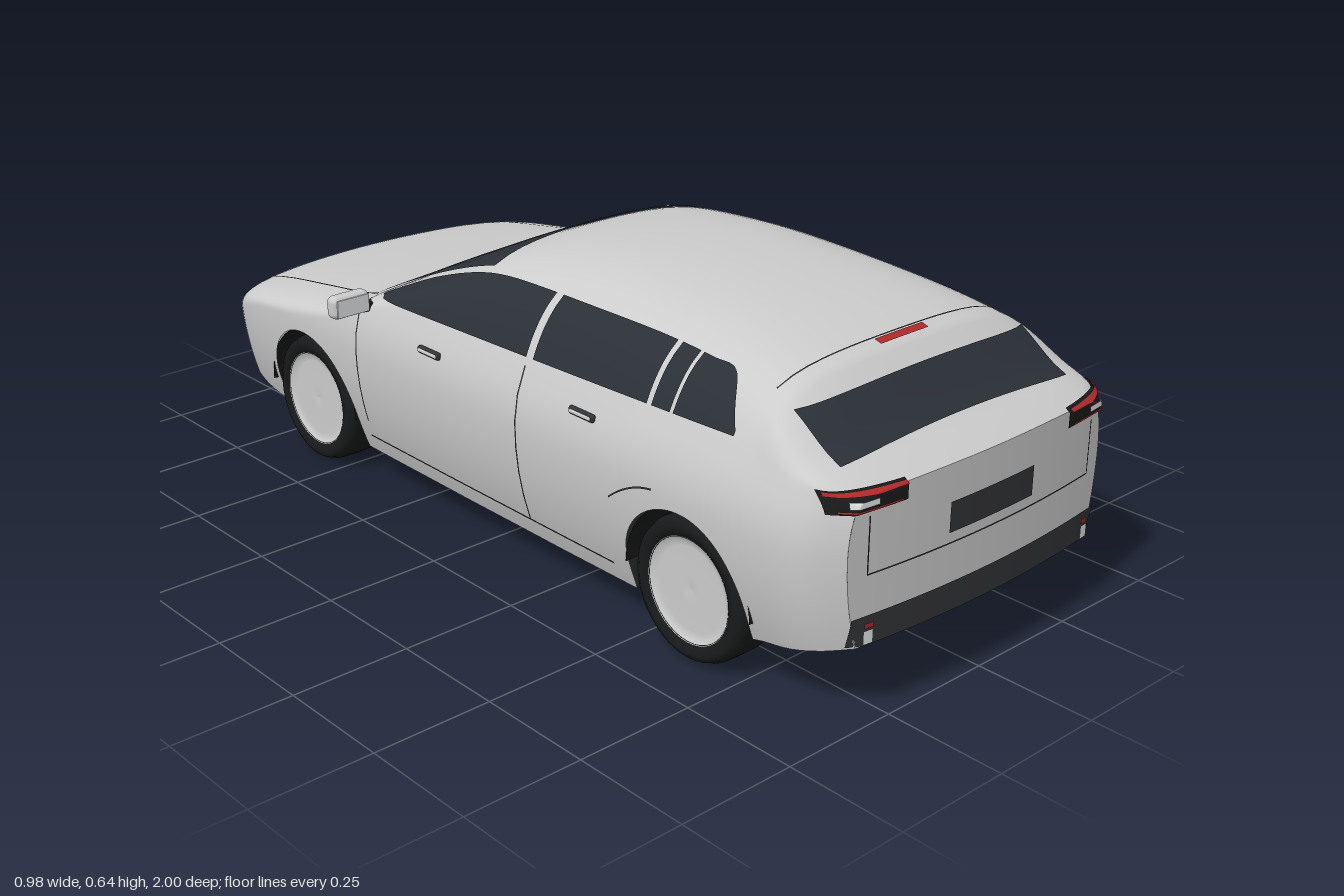
import * as THREE from 'three';
import { RoundedBoxGeometry } from 'three/addons/geometries/RoundedBoxGeometry.js';

const mat = (color) => new THREE.MeshStandardMaterial({ color, side: THREE.DoubleSide });
const PAINT = mat(0xcccccc), GLASS = mat(0x2b3037), BLACK = mat(0x191a1b), TRIM = mat(0x333436);
const RED = mat(0xb02a2a), LAMP = mat(0xe4e6e8);
const lerp = THREE.MathUtils.lerp;

// Body sections: z, roof height, floor height, half width, belt height, two shoulder fullness factors
const KEYS = [
  [-0.985, .272, .13, .33, .235, 1, .88], [-0.96, .305, .12, .362, .26, 1, .85],
  [-0.9, .343, .11, .395, .295, 1, .8], [-0.8, .367, .09, .408, .32, 1, .75],
  [-0.6, .4, .075, .412, .345, 1, .72], [-0.42, .43, .075, .413, .385, 1, .75],
  [-0.36, .457, .075, .414, .42, .97, .82], [-0.2, .54, .075, .415, .445, .93, .8],
  [-0.05, .606, .075, .416, .45, .87, .7], [.1, .632, .075, .416, .45, .857, .65],
  [.3, .64, .075, .416, .452, .857, .65], [.6, .622, .08, .415, .455, .86, .68],
  [.78, .585, .1, .413, .45, .88, .8], [.82, .555, .11, .412, .45, .93, .88],
  [.9, .49, .125, .408, .445, .96, .9], [.96, .462, .14, .388, .435, 1, .9], [1, .443, .15, .35, .42, 1, .9],
];
const Z0 = KEYS[0][0], Z1 = 1;
const WHEELS = [-0.58, .63], ARCH = .163, AXLE = .145;

// Smooth interpolation of column c of a key table at z
function curve(keys, z, c) {
  let i = 0;
  while (i < keys.length - 2 && z > keys[i + 1][0]) i++;
  const slope = (j) => {
    const a = keys[Math.max(j - 1, 0)], b = keys[Math.min(j + 1, keys.length - 1)];
    return (b[c] - a[c]) / (b[0] - a[0]);
  };
  const a = keys[i], b = keys[i + 1], h = b[0] - a[0], t = THREE.MathUtils.clamp((z - a[0]) / h, 0, 1);
  const t2 = t * t, t3 = t2 * t;
  return (2 * t3 - 3 * t2 + 1) * a[c] + (t3 - 2 * t2 + t) * h * slope(i)
    + (3 * t2 - 2 * t3) * b[c] + (t3 - t2) * h * slope(i + 1);
}
const sect = (z) => [1, 2, 3, 4, 5, 6].map((c) => curve(KEYS, z, c));
const sideX = (y, w) => w - (y < .33 ? .8 : 2) * (y - .33) ** 2;

// Point on the shoulder-to-roof curve of a section
function shoulder([top, , w, belt, c, d], t) {
  const bx = sideX(belt, w), s = 1 - t;
  return [
    s ** 3 * bx + 3 * s * s * t * bx * c + 3 * s * t * t * bx * d,
    s ** 3 * belt + 3 * s * s * t * lerp(belt, top, .79) + (3 * s * t * t + t ** 3) * top,
  ];
}
function bisect(lo, hi, ok) {
  for (let i = 0; i < 30; i++) { const m = (lo + hi) / 2; if (ok(m)) lo = m; else hi = m; }
  return lo;
}
// Projections onto the body from the side, from above and from either end
function halfW(y, z) {
  const k = sect(z);
  if (y <= k[3]) return sideX(y, k[2]);
  if (y > k[0]) return -1;
  return shoulder(k, bisect(0, 1, (t) => shoulder(k, t)[1] < y))[0];
}
function topY(x, z) {
  const k = sect(z);
  return shoulder(k, bisect(0, 1, (t) => shoulder(k, t)[0] > Math.abs(x)))[1];
}
const endZ = (x, y, s) => bisect(s * .55, s > 0 ? Z1 : Z0, (z) => halfW(y, z) >= Math.abs(x));

// Plan curvature of nose and tail
function bow([x, y, z]) {
  const f = THREE.MathUtils.smoothstep(Math.abs(z), .6, 1);
  return [x, y, z - Math.sign(z) * f * (z > 0 ? .2 : .32) * x * x];
}
function archY(z, floor) {
  for (const c of WHEELS) if (Math.abs(z - c) < ARCH) return AXLE + Math.sqrt(ARCH ** 2 - (z - c) ** 2);
  return floor;
}
// Half profile from the sill (s = 0) to the roof centre (s = 1)
function profile(z, s) {
  const k = sect(z);
  if (s >= .45) return shoulder(k, (s - .45) / .55);
  const y = lerp(archY(z, k[1]), k[3], s / .45);
  return [sideX(y, k[2]), y];
}

export function createModel() {
  const car = new THREE.Group();
  const add = (name, geo, material, p = [0, 0, 0]) => {
    const m = new THREE.Mesh(geo, material);
    m.name = name; m.position.set(...p); car.add(m);
    return m;
  };
  // Surface grid from a rule f(u, v)
  function sheet(name, material, nu, nv, f) {
    const pos = [], idx = [];
    for (let i = 0; i <= nu; i++) for (let j = 0; j <= nv; j++) {
      pos.push(...bow(f(i / nu, j / nv)));
      if (i < nu && j < nv) {
        const a = i * (nv + 1) + j, b = a + nv + 1;
        idx.push(a, a + 1, b, b, a + 1, b + 1);
      }
    }
    const g = new THREE.BufferGeometry();
    g.setAttribute('position', new THREE.Float32BufferAttribute(pos, 3));
    g.setIndex(idx); g.computeVertexNormals();
    return add(name, g, material);
  }
  const sidePatch = (name, m, s, z0, z1, lo, hi, off = .003) => sheet(name, m, 20, 6, (u, v) => {
    const z = lerp(z0, z1, u), y = lerp(lo(z), Math.max(hi(z), lo(z)), v);
    return [s * (halfW(y, z) + off), y, z];
  });
  const endPatch = (name, m, s, x0, x1, y0, y1, off = .004, arc = 0) => sheet(name, m, 24, 5, (u, v) => {
    const x = lerp(x0, x1, u), y = lerp(y0, y1, v) - arc * x * x;
    const z = endZ(x, y, s);
    return [x * 1.006, y + off * .3, z + s * off];
  });
  const topPatch = (name, m, x0, x1, z0, z1, off = .004) => sheet(name, m, 16, 24, (u, v) => {
    const z = lerp(z0, z1, v), x = lerp(x0(z), x1(z), u);
    return [x, topY(x, z) + off, z];
  });
  const is = (v) => () => v;

  // Stations along the body, denser at the arches and ends
  const zs = [];
  for (let i = 0; i <= 100; i++) zs.push(lerp(Z0, Z1, i / 100));
  for (const c of WHEELS) {
    for (let i = 0; i <= 28; i++) zs.push(c - Math.cos(i / 28 * Math.PI) * ARCH * .9999);
    zs.push(c - ARCH - .0005, c + ARCH + .0005);
  }
  zs.sort((a, b) => a - b);
  const n = zs.length - 1;

  // Shell, nose, tail and underside
  sheet('bodyShell', PAINT, n, 72, (u, v) => {
    const z = zs[Math.round(u * n)], w = v * 2 - 1, [x, y] = profile(z, 1 - Math.abs(w));
    return [Math.sign(w) * x, y, z];
  });
  for (const [name, z] of [['nosePanel', Z0], ['tailPanel', Z1]]) {
    sheet(name, PAINT, 20, 30, (u, v) => {
      const [x, y] = profile(z, v);
      return [(u * 2 - 1) * x, y, z];
    });
  }
  sheet('underside', BLACK, n, 2, (u, v) => {
    const z = zs[Math.round(u * n)], k = sect(z);
    const x = archY(z, 0) > 0 ? .26 : sideX(k[1], k[2]);
    return [(v * 2 - 1) * x, k[1], z];
  });

  // Windscreen, cowl and rear window
  const screenX = (z) => lerp(.325, .288, (z + .39) / .34);
  topPatch('windscreen', GLASS, (z) => -screenX(z), screenX, -.385, -.048);
  topPatch('cowl', BLACK, is(-.335), is(.335), -.41, -.385);
  endPatch('rearWindow', GLASS, 1, -.31, .31, .482, .552, .004, .15);

  // Side glazing, seams, handles, mirrors
  const TOP = [[-.345, .452], [-.2, .517], [-.05, .562], [.1, .576], [.4, .58], [.6, .572], [.67, .56], [.735, .482]];
  const winTop = (z) => curve(TOP, z, 1), winLow = (z) => .452 + .026 * (z + .34);
  for (const s of [1, -1]) {
    for (const [a, b] of [[-.34, .167], [.187, .505], [.517, .565], [.573, .73]])
      sidePatch('sideWindow', GLASS, s, a, b, winLow, winTop);
    for (const [z, lo, hi] of [[.17, .12, .45], [-.37, .16, .41]])
      sidePatch('doorSeam', TRIM, s, z - .002, z + .002, is(lo), is(hi), .002);
    sidePatch('sillSeam', TRIM, s, -.38, .42, is(.117), is(.121), .002);
    sidePatch('rearDoorSeam', TRIM, s, .44, .56, (z) => .335 - 3 * (z - .56) ** 2 - .12 * (.56 - z) - .004,
      (z) => .335 - 3 * (z - .56) ** 2 - .12 * (.56 - z), .002);
    for (const [z, y] of [[.355, .412], [-.115, .397]]) {
      add('doorHandle', new RoundedBoxGeometry(.012, .016, .07, 2, .005), TRIM, [s * (halfW(y, z) + .002), y, z]);
      add('handleGrip', new RoundedBoxGeometry(.012, .008, .06, 2, .003), PAINT, [s * (halfW(y, z) + .005), y, z]);
    }
    add('mirror', new RoundedBoxGeometry(.092, .05, .036, 4, .014), PAINT, [s * .442, .446, -.35]);
    add('mirrorGlass', new THREE.BoxGeometry(.078, .038, .003), LAMP, [s * .442, .446, -.3315]);
    add('mirrorArm', new THREE.BoxGeometry(.05, .016, .022), BLACK, [s * .385, .43, -.35]);
    topPatch('bonnetSeam', TRIM, (z) => s * (.322 + .03 * (z + .4)), (z) => s * (.326 + .03 * (z + .4)), -.93, -.41, .002);

    // Tail lamps and reflectors
    endPatch('tailLampHousing', BLACK, 1, s * .222, s * .372, .408, .446, .004);
    endPatch('tailLampUpper', RED, 1, s * .226, s * .37, .437, .444, .008);
    endPatch('tailLampLower', RED, 1, s * .235, s * .36, .41, .414, .008);
    endPatch('reverseLamp', LAMP, 1, s * .29, s * .345, .418, .43, .008);
    endPatch('tailgateSeam', TRIM, 1, s * .304, s * .307, .29, .4, .003);
    endPatch('bumperReflector', RED, 1, s * .292, s * .312, .186, .196, .009);
    endPatch('bumperLamp', LAMP, 1, s * .292, s * .314, .155, .182, .009);

    // Headlamps
    endPatch('headlampHousing', BLACK, -1, s * .19, s * .355, .276, .303, .004);
    for (let i = 0; i < 3; i++)
      endPatch('headlampLens', LAMP, -1, s * (.215 + i * .045), s * (.247 + i * .045), .281, .297, .008);
    endPatch('frontVent', BLACK, -1, s * .29, s * .318, .15, .225, .004);
  }
  const flap = add('fuelFlap', new THREE.TorusGeometry(.031, .0018, 6, 32), TRIM, [halfW(.395, .72) + .001, .395, .72]);
  flap.rotation.set(0, Math.PI / 2, 0);

  // Tail trim
  endPatch('rearBumperTrim', TRIM, 1, -.338, .338, .152, .21, .005);
  endPatch('platePanel', TRIM, 1, -.115, .115, .31, .37, .005);
  endPatch('tailgateLowerSeam', TRIM, 1, -.306, .306, .287, .29, .003);
  topPatch('highBrakeLamp', RED, is(-.065), is(.065), .766, .782, .005);
  topPatch('spoilerSeam', TRIM, is(-.3), is(.3), .757, .76, .002);

  // Nose trim
  endPatch('lowerGrille', BLACK, -1, -.27, .27, .138, .188, .005);
  for (let i = 0; i < 3; i++) endPatch('grilleBar', TRIM, -1, -.255, .255, .148 + i * .013, .152 + i * .013, .009);
  endPatch('noseSlot', BLACK, -1, -.2, .2, .222, .25, .005);
  const lip = new RoundedBoxGeometry(.36, .016, .03, 3, .006, 1);
  add('noseLip', lip, TRIM, [0, .222, -.984]);
  endPatch('bonnetFrontSeam', TRIM, -1, -.29, .29, .318, .321, .003);

  // Wheels and wells
  const tyre = [[.1, -.05], [.125, -.057], [.138, -.05], [.144, -.035], [.145, 0], [.144, .035], [.138, .05], [.125, .057], [.104, .05], [.1, .03]];
  const rim = [[0, .042], [.03, .045], [.085, .042], [.099, .046], [.106, .051]];
  const lathe = (pts) => new THREE.LatheGeometry(pts.map(([r, y]) => new THREE.Vector2(r, y)), 40);
  for (const s of [1, -1]) for (const z of WHEELS) {
    const wheel = new THREE.Group();
    wheel.name = 'wheel';
    const part = (name, geo, m, y = 0) => {
      const mesh = new THREE.Mesh(geo, m);
      mesh.name = name; mesh.position.y = y; wheel.add(mesh);
    };
    part('tyre', lathe(tyre), BLACK);
    part('rim', lathe(rim), PAINT);
    part('innerHub', new THREE.CylinderGeometry(.1, .1, .01, 32), TRIM, -.04);
    wheel.rotation.z = -s * Math.PI / 2;
    wheel.position.set(s * .338, AXLE, z);
    car.add(wheel);
    // Half-round liner over the wheel with a closed inner wall
    const well = add('wheelWell', new THREE.CylinderGeometry(ARCH, ARCH, .135, 32, 1, true, 0, Math.PI), BLACK, [s * .3275, AXLE, z]);
    well.rotation.z = Math.PI / 2;
    const wall = add('wellWall', new THREE.CircleGeometry(ARCH, 32, 0, Math.PI), BLACK, [s * .26, AXLE, z]);
    wall.rotation.y = Math.PI / 2;
    add('wellWallLower', new THREE.BoxGeometry(.004, .07, ARCH * 2), BLACK, [s * .26, .115, z]);
  }
  return car;
}
